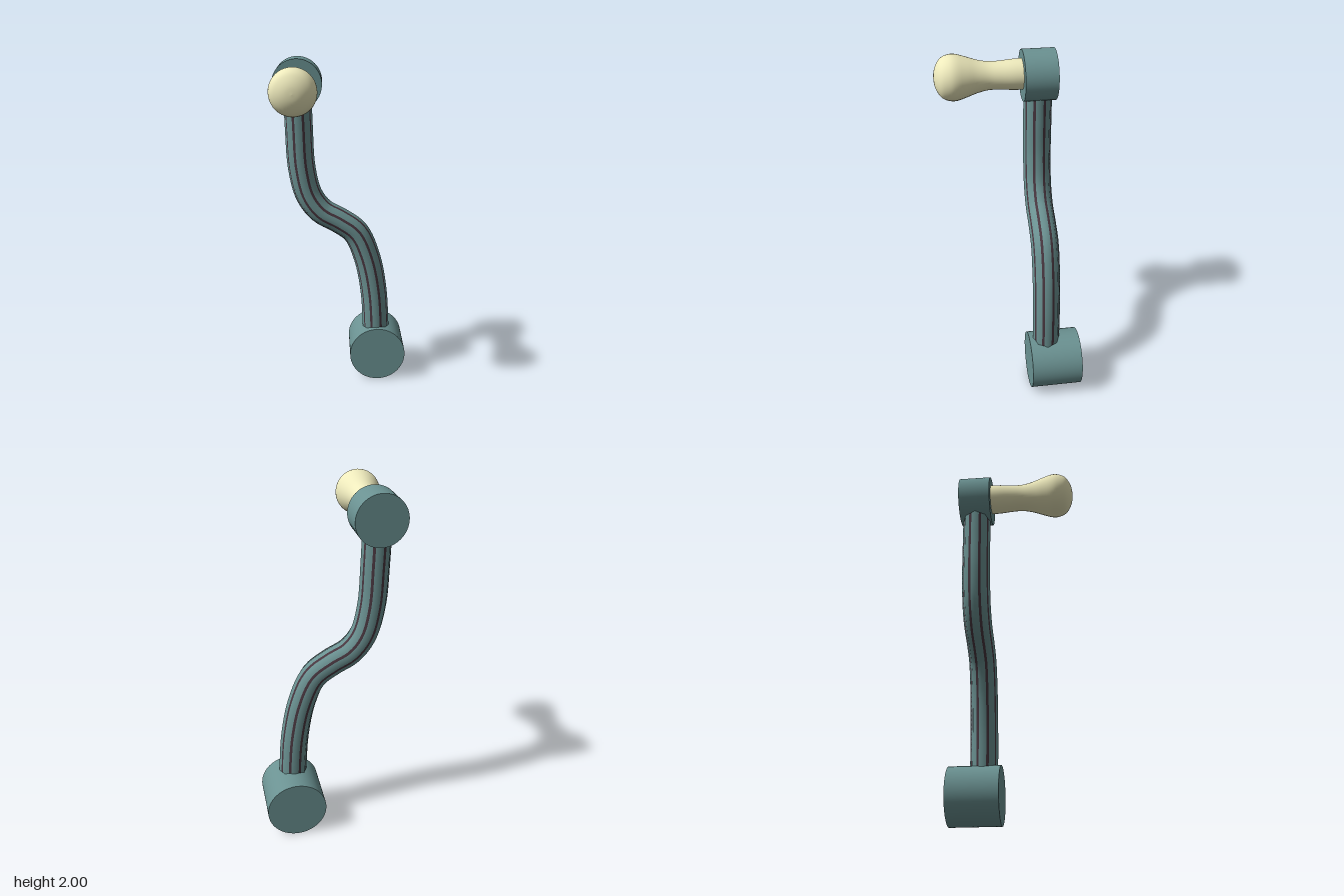
import * as THREE from 'three';

const mat = (color) => new THREE.MeshStandardMaterial({ color });

// Cylinder lying along z between two depths
function drum(name, x, y, r, z0, z1, material) {
  const geo = new THREE.CylinderGeometry(r, r, z1 - z0, 64).rotateX(Math.PI / 2);
  const mesh = new THREE.Mesh(geo, material);
  mesh.position.set(x, y, (z0 + z1) / 2);
  mesh.name = name;
  return mesh;
}

// Sweeps open strips, each given as [angle, radius] points, along a planar curve
function sweep(curve, strips, z, steps) {
  const pos = [], nor = [], idx = [];
  for (const strip of strips) {
    const base = pos.length / 3, n = strip.length;
    for (let i = 0; i <= steps; i++) {
      const p = curve.getPointAt(i / steps), t = curve.getTangentAt(i / steps);
      for (const [a, r] of strip) {
        const c = Math.cos(a), s = Math.sin(a);
        pos.push(p.x - t.y * c * r, p.y + t.x * c * r, z + s * r);
        nor.push(-t.y * c, t.x * c, s);
      }
    }
    for (let i = 0; i < steps; i++) {
      for (let j = 0; j < n - 1; j++) {
        const a = base + i * n + j, b = a + n;
        idx.push(a, a + 1, b, a + 1, b + 1, b);
      }
    }
  }
  const geo = new THREE.BufferGeometry();
  geo.setAttribute('position', new THREE.Float32BufferAttribute(pos, 3));
  geo.setAttribute('normal', new THREE.Float32BufferAttribute(nor, 3));
  geo.setIndex(idx);
  return geo;
}

export function createModel() {
  const group = new THREE.Group();
  const teal = mat(0x6b9292), dark = mat(0x48363f), cream = mat(0xeeeabc);
  teal.side = dark.side = THREE.DoubleSide;

  // Hub at the bottom and collar at the top
  group.add(drum('hub', 0.225, 0.173, 0.172, -0.39, -0.085, teal));
  group.add(drum('collar', -0.255, 1.857, 0.143, -0.283, -0.1, teal));

  // S-shaped arm: octagonal section with a dark stripe down each flat
  const path = new THREE.CatmullRomCurve3([
    [-0.255, 1.8], [-0.25, 1.6], [-0.237, 1.36], [-0.195, 1.19], [-0.12, 1.09], [-0.015, 1.03],
    [0.085, 0.955], [0.155, 0.8], [0.2, 0.58], [0.222, 0.26],
  ].map(([x, y]) => new THREE.Vector3(x, y, 0)));
  const R = 0.082, flat = R * Math.cos(Math.PI / 8), w = 0.1;
  const panels = [], stripes = [];
  for (let k = 0; k < 8; k++) {
    const mid = k * Math.PI / 4, h = Math.PI / 8;
    panels.push([[mid - h + w, flat], [mid, R], [mid + h - w, flat]]);
    stripes.push([[mid + h - w, flat], [mid + h + w, flat]]);
  }
  const arm = new THREE.Group();
  arm.name = 'arm';
  const armPanels = new THREE.Mesh(sweep(path, panels, -0.19, 60), teal);
  armPanels.name = 'armPanels';
  const armStripes = new THREE.Mesh(sweep(path, stripes, -0.19, 60), dark);
  armStripes.name = 'armStripes';
  arm.add(armPanels, armStripes);
  group.add(arm);

  // Turned grip pointing forward
  const profile = new THREE.SplineCurve([
    [0.086, -0.12], [0.084, -0.05], [0.078, 0.03], [0.078, 0.09], [0.09, 0.15], [0.11, 0.21],
    [0.126, 0.265], [0.125, 0.305], [0.108, 0.345], [0.075, 0.37], [0.038, 0.384], [0, 0.388],
  ].map(([r, z]) => new THREE.Vector2(r, z)));
  const points = profile.getPoints(40);
  points.forEach((p) => { p.x = Math.max(p.x, 0); });
  const grip = new THREE.Mesh(new THREE.LatheGeometry(points, 40).rotateX(Math.PI / 2), cream);
  grip.position.set(-0.26, 1.864, 0);
  grip.name = 'grip';
  group.add(grip);

  return group;
}
